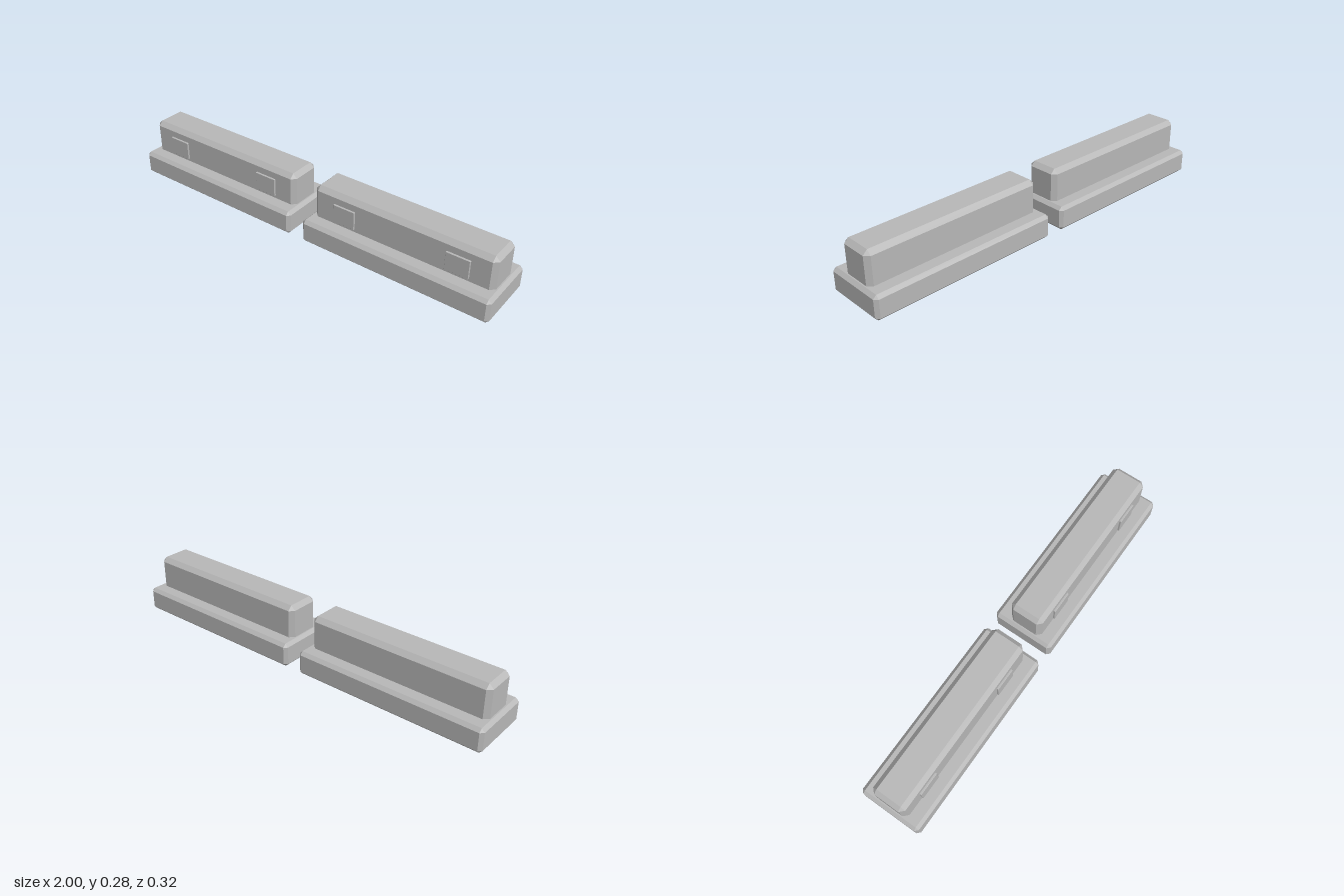
import * as THREE from 'three';
import { ConvexGeometry } from 'three/addons/geometries/ConvexGeometry.js';

// Box with all twelve edges chamfered by c
function chamferedBox(w, h, d, c) {
  const x = w / 2, y = h / 2, z = d / 2;
  const points = [];
  for (const sx of [-1, 1]) for (const sy of [-1, 1]) for (const sz of [-1, 1]) {
    points.push(
      new THREE.Vector3(sx * x, sy * (y - c), sz * (z - c)),
      new THREE.Vector3(sx * (x - c), sy * y, sz * (z - c)),
      new THREE.Vector3(sx * (x - c), sy * (y - c), sz * z)
    );
  }
  return new ConvexGeometry(points);
}

export function createModel() {
  const concrete = new THREE.MeshStandardMaterial({ color: 0xb8b8b8 });
  concrete.name = 'concreteGrey';

  const baseGeometry = chamferedBox(0.963, 0.121, 0.316, 0.016);
  const wallGeometry = chamferedBox(0.919, 0.183, 0.174, 0.022);
  const plateGeometry = chamferedBox(0.115, 0.092, 0.018, 0.0015);

  const model = new THREE.Group();
  model.name = 'barrierPair';

  function addPart(parent, name, geometry, x, y, z) {
    const mesh = new THREE.Mesh(geometry, concrete);
    mesh.name = name;
    mesh.position.set(x, y, z);
    parent.add(mesh);
  }

  for (const side of [-1, 1]) {
    const barrier = new THREE.Group();
    barrier.name = side > 0 ? 'leftBarrier' : 'rightBarrier';
    barrier.position.x = side * 0.5185;

    // Wide foot and narrower wall, whose lower edge is sunk into the foot
    addPart(barrier, 'base', baseGeometry, 0, 0.0605, 0);
    addPart(barrier, 'wall', wallGeometry, 0, 0.1905, 0);

    // Two shallow plates on the front of the wall
    for (const end of [-1, 1]) {
      addPart(barrier, end > 0 ? 'leftPlate' : 'rightPlate', plateGeometry, end * 0.288, 0.181, 0.087);
    }
    model.add(barrier);
  }
  return model;
}
